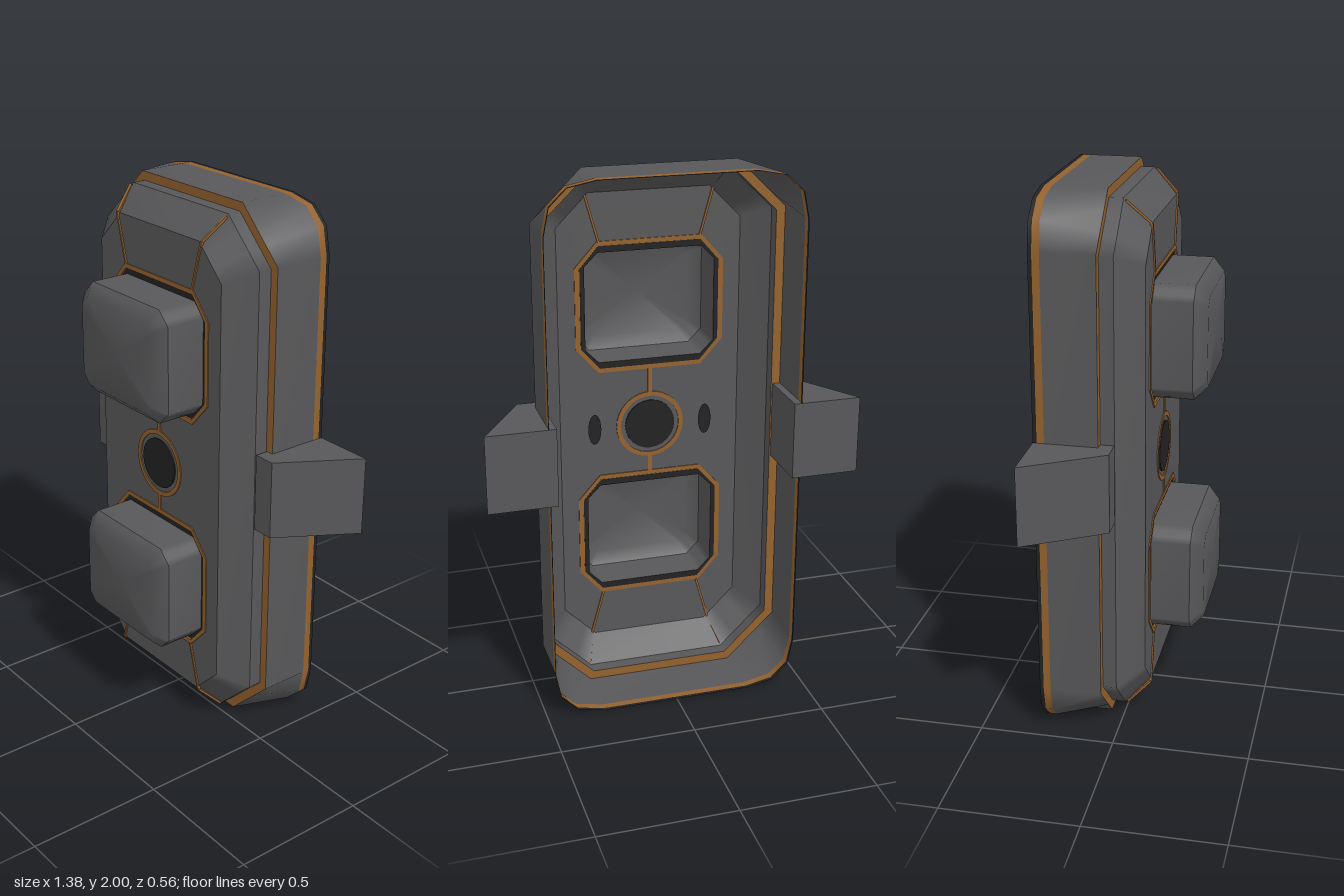
import * as THREE from 'three';

const mat = (name, color) => {
  const m = new THREE.MeshStandardMaterial({ color, side: THREE.DoubleSide });
  m.name = name;
  return m;
};

// Chamfered rectangle, counter-clockwise seen from the front; round bulges the corners
function loop(hw, hh, cutX, cutY, cy, z, round = false) {
  const pts = [];
  for (const [sx, sy] of [[1, 1], [-1, 1], [-1, -1], [1, -1]]) {
    const corner = [];
    for (let i = 0; i < 4; i++) {
      const t = i / 3;
      const a = round ? t * t : t, b = round ? (1 - t) * (1 - t) : 1 - t;
      corner.push(new THREE.Vector3(sx * (hw - cutX * a), cy + sy * (hh - cutY * b), z));
    }
    if (sx !== sy) corner.reverse();
    pts.push(...corner);
  }
  return pts;
}

// Skin over cross-sections, listed from front (or inside) to back (or outside)
function loft(loops) {
  const n = loops[0].length, pos = [], idx = [];
  loops.forEach(l => l.forEach(p => pos.push(p.x, p.y, p.z)));
  for (let r = 0; r < loops.length - 1; r++) {
    for (let i = 0; i < n; i++) {
      const j = (i + 1) % n, a = r * n, b = a + n;
      idx.push(a + i, b + i, b + j, a + i, b + j, a + j);
    }
  }
  const g = new THREE.BufferGeometry();
  g.setAttribute('position', new THREE.Float32BufferAttribute(pos, 3));
  g.setIndex(idx);
  g.computeVertexNormals();
  return g;
}

const flat = pts => pts.map(p => new THREE.Vector2(p.x, p.y));

// Thin plate with a hole, centred on depth z
function ringPlate(outer, inner, z) {
  const s = new THREE.Shape(outer);
  s.holes.push(new THREE.Path(inner));
  return new THREE.ExtrudeGeometry(s, { depth: 0.008, bevelEnabled: false }).translate(0, 0, z - 0.004);
}

function circle(r, cy, n = 32) {
  return Array.from({ length: n }, (_, i) => {
    const a = i / n * Math.PI * 2;
    return new THREE.Vector2(r * Math.cos(a), cy + r * Math.sin(a));
  });
}

export function createModel() {
  const root = new THREE.Group();
  const grey = mat('dark grey', 0x58585a);
  const orange = mat('copper orange', 0x94622e);
  const black = mat('black', 0x222223);
  const add = (name, geo, m, parent = root) => {
    const mesh = new THREE.Mesh(geo, m);
    mesh.name = name;
    parent.add(mesh);
    return mesh;
  };
  // Thin strip between two points
  const strip = (name, a, b, w) => {
    const mesh = add(name, new THREE.BoxGeometry(w, 0.008, a.distanceTo(b)), orange);
    mesh.position.copy(a).add(b).multiplyScalar(0.5);
    mesh.lookAt(b);
    return mesh;
  };

  // Side wall, from octagonal front edge to rounded back edge
  const rim = (z, round) => loop(0.465, 1, 0.185, 0.18, 1, z, round);
  add('sideWall', loft([rim(-0.05, false), rim(-0.24, true)]), grey);
  add('backTrim', loft([rim(-0.24, true), rim(-0.266, true)]), orange);
  add('backEdge', loft([rim(-0.266, true), rim(-0.28, true)]), black);

  // Step trim and raised, bevelled face
  const step = z => loop(0.432, 0.967, 0.165, 0.16, 1, z);
  const face = loop(0.345, 0.88, 0.12, 0.12, 1, 0.09);
  add('stepTrim', loft([step(-0.05), rim(-0.05, false)]), orange);
  add('stepWall', loft([step(0), step(-0.05)]), grey);
  add('faceBevel', loft([face, step(0)]), grey);

  const centreY = 0.985;
  const buttonYs = [1.455, 0.548];
  const opening = (cy, z) => loop(0.262, 0.231, 0.07, 0.08, cy, z);
  const faceShape = new THREE.Shape(flat(face));
  buttonYs.forEach(cy => faceShape.holes.push(new THREE.Path(flat(opening(cy, 0)))));
  add('facePlate', new THREE.ShapeGeometry(faceShape).translate(0, 0, 0.09), grey);

  // Two hollow buttons, each with a gap ring and trim
  for (const cy of buttonYs) {
    const button = new THREE.Group();
    button.name = cy > 1 ? 'upperButton' : 'lowerButton';
    root.add(button);
    const side = z => loop(0.245, 0.207, 0.05, 0.05, cy, z);
    const top = loop(0.2, 0.165, 0.035, 0.035, cy, 0.28);
    const middle = loop(0, 0, 0, 0, cy, 0.28);
    add('buttonCap', loft([middle, top, side(0.235)]), grey, button);
    add('buttonSide', loft([side(0.235), side(0.085)]), grey, button);
    add('buttonGap', loft([side(0.085), opening(cy, 0.085)]), black, button);
    const outer = loop(0.281, 0.248, 0.085, 0.095, cy, 0);
    add('buttonTrim', ringPlate(flat(outer), flat(opening(cy, 0)), 0.09), orange, button);
  }

  // Centre dial and its ring
  const dial = new THREE.CylinderGeometry(0.096, 0.096, 0.009, 24).rotateX(Math.PI / 2);
  add('centreDial', dial.translate(0, centreY, 0.09), black);
  add('centreRing', ringPlate(circle(0.13, centreY), circle(0.113, centreY), 0.09), orange);

  // Inlay lines on the face
  const v = (x, y, z) => new THREE.Vector3(x, y, z);
  strip('upperLink', v(0, 1.113, 0.09), v(0, 1.21, 0.09), 0.015);
  strip('lowerLink', v(0, 0.79, 0.09), v(0, 0.857, 0.09), 0.015);
  for (const sx of [1, -1]) {
    for (const sy of [1, -1]) {
      const p = (x, y, z) => v(sx * x, 1 + sy * y, z);
      strip('faceLine', p(0.19, 0.7, 0.09), p(0.24, 0.88, 0.09), 0.011);
      strip('bevelLine', p(0.24, 0.88, 0.09), p(0.27, 0.96, 0.008), 0.011);
    }
    // Oval spots on the inside of the face
    const spot = new THREE.CircleGeometry(1, 20).scale(0.025, 0.06, 1);
    add('innerSpot', spot.translate(sx * 0.215, centreY, 0.084), black);

    // Wedge-shaped side lug
    const profile = [[0.437, -0.28], [0.69, -0.28], [0.52, 0], [0.437, 0]]
      .map(([x, z]) => new THREE.Vector2(sx * x, -z));
    const lug = new THREE.ExtrudeGeometry(new THREE.Shape(profile), { depth: 0.29, bevelEnabled: false });
    add(sx > 0 ? 'leftLug' : 'rightLug', lug.rotateX(-Math.PI / 2).translate(0, 0.86, 0), grey);
  }
  return root;
}
